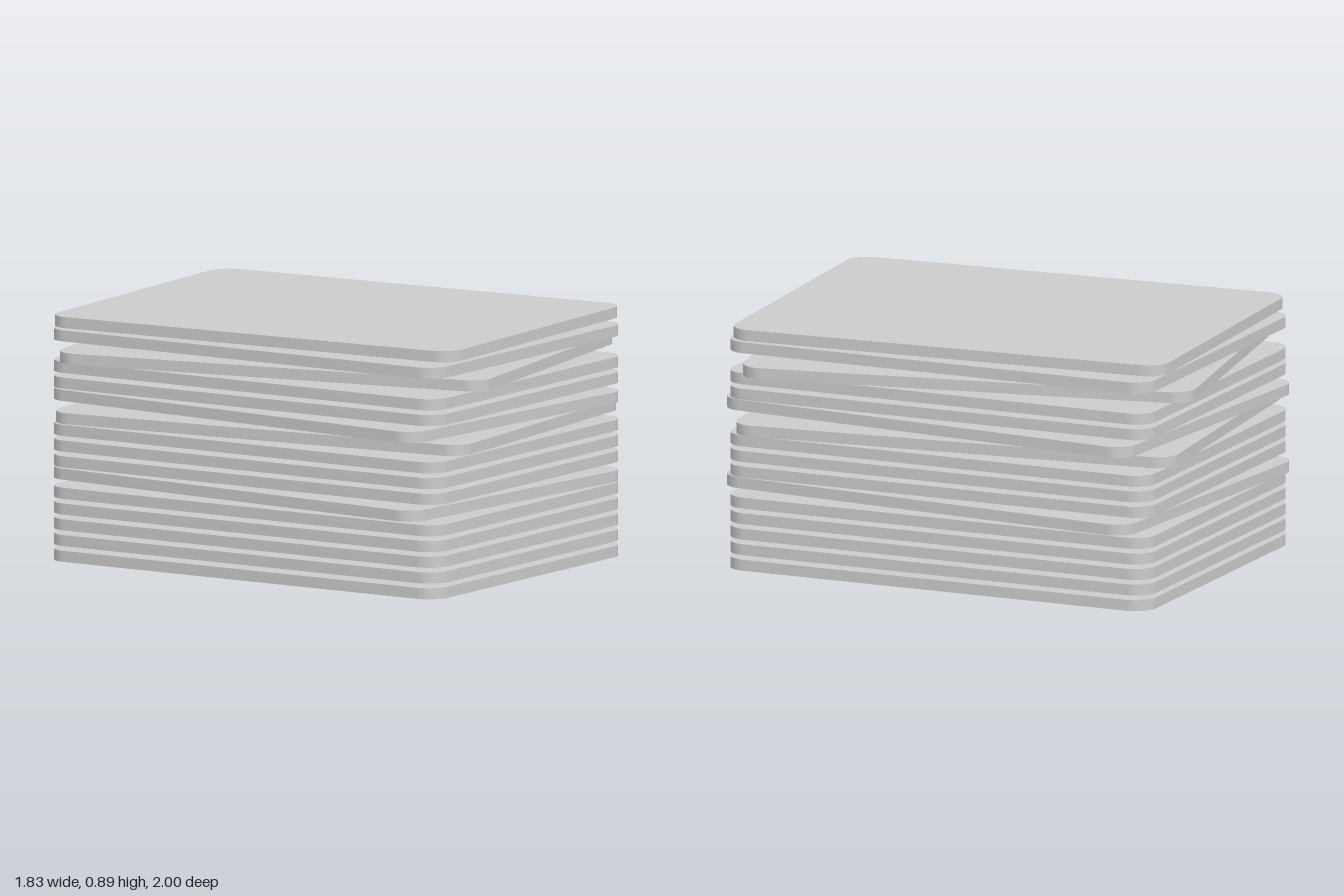
import * as THREE from 'three';
import { toCreasedNormals } from 'three/addons/utils/BufferGeometryUtils.js';

const HALF_W = 0.62, HALF_L = 0.83, RADIUS = 0.08;
const THICKNESS = 0.04, PITCH = 0.0567, COUNT = 16;

// Rounded rectangle slab lying flat, its underside at y = 0
function plateGeometry() {
  const a = HALF_W - RADIUS, b = HALF_L - RADIUS;
  const shape = new THREE.Shape();
  shape.absarc(a, b, RADIUS, 0, Math.PI / 2);
  shape.absarc(-a, b, RADIUS, Math.PI / 2, Math.PI);
  shape.absarc(-a, -b, RADIUS, Math.PI, Math.PI * 1.5);
  shape.absarc(a, -b, RADIUS, Math.PI * 1.5, Math.PI * 2);
  shape.closePath();
  const geometry = new THREE.ExtrudeGeometry(shape, {
    depth: THICKNESS, bevelEnabled: false, curveSegments: 10,
  });
  geometry.rotateX(-Math.PI / 2);
  return toCreasedNormals(geometry, 0.6);
}

export function createModel() {
  const group = new THREE.Group();
  group.name = 'plateStack';
  const geometry = plateGeometry();
  const material = new THREE.MeshStandardMaterial({ color: 0xcccccc });

  // Most plates line up; a few are twisted (degrees, by layer)
  const usualTurn = 18.7;
  const twisted = { 5: 14, 9: 24.3, 10: 14, 13: 29, 15: 22 };

  for (let i = 0; i < COUNT; i++) {
    const plate = new THREE.Mesh(geometry, material);
    plate.name = `plate${i + 1}`;
    plate.position.y = i * PITCH;
    plate.rotation.y = THREE.MathUtils.degToRad(twisted[i] ?? usualTurn);
    group.add(plate);
  }
  return group;
}
